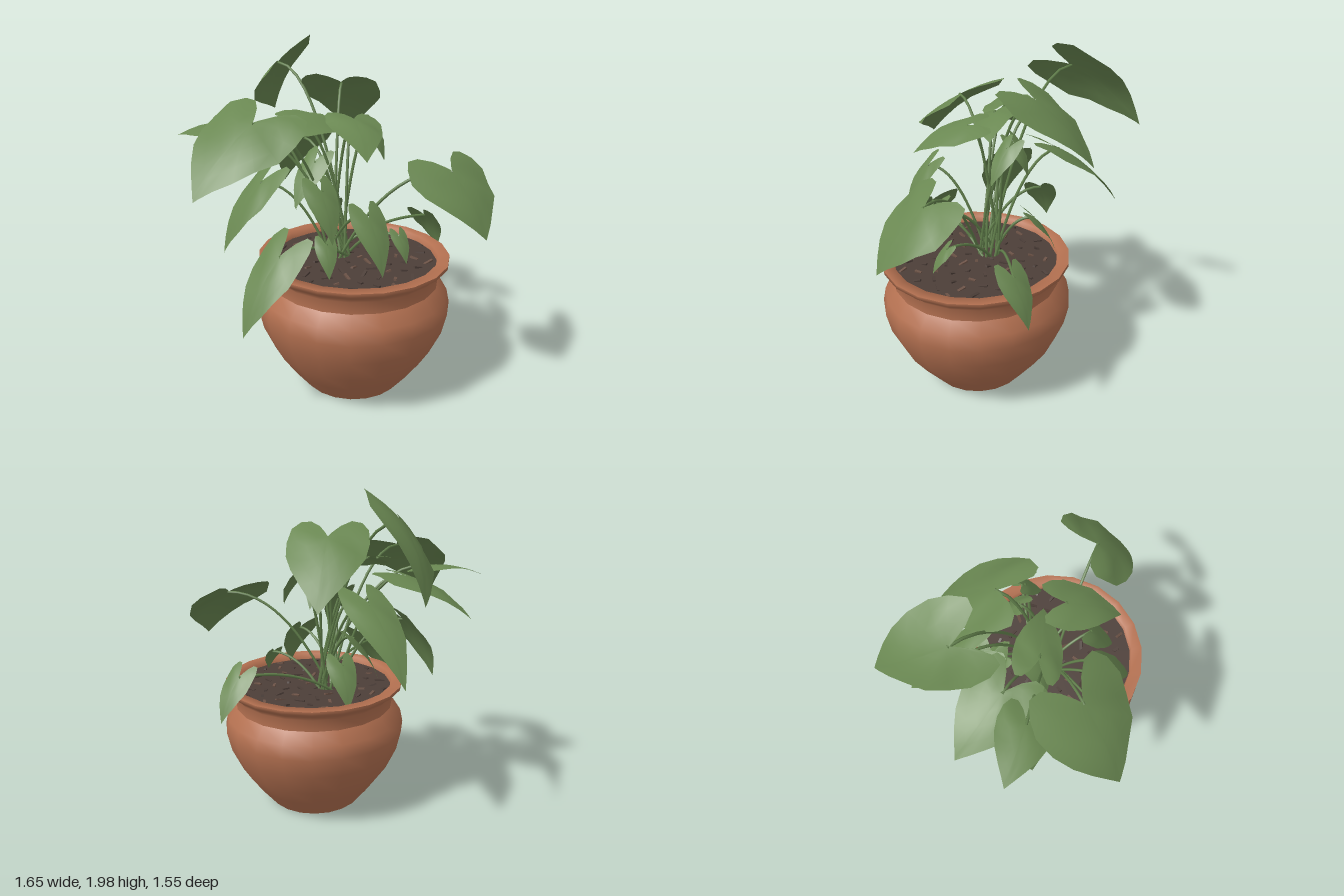
import * as THREE from 'three';

const DS = THREE.DoubleSide;
const mat = (name, color, side = THREE.FrontSide) => {
  const m = new THREE.MeshStandardMaterial({ color, side });
  m.name = name;
  return m;
};
const rad = THREE.MathUtils.degToRad;
const UP = new THREE.Vector3(0, 1, 0);
const STEPS = 24, RINGS = 4;

// Heart outline running from the notch round the tip and back: [along, across]
const heart = (angle) => {
  const c = (k) => Math.cos(k * angle), s = Math.sin(angle);
  return [(0.28 - (13 * c(1) - 5 * c(2) - 2 * c(3) - c(4)) / 16) / 1.34, s * Math.abs(s)];
};

// Blade from stalk joint to tip, rolled about its length, arched along and cupped across
function leafGeometry(joint, tip, width, roll) {
  const axis = tip.clone().sub(joint), len = axis.length();
  const flat = axis.clone().cross(UP).normalize();
  const top = flat.clone().cross(axis).normalize();
  const side = flat.clone().multiplyScalar(Math.cos(rad(roll))).addScaledVector(top, Math.sin(rad(roll)));
  const normal = side.clone().cross(axis).normalize();
  const pos = joint.toArray(), index = [];
  for (let r = 1; r <= RINGS; r++) {
    for (let i = 0; i <= STEPS; i++) {
      const [u, v] = heart(i / STEPS * Math.PI * 2).map((c) => c * r / RINGS);
      const lift = 0.27 * len * (u - u * u) - 0.16 * width * v * v
        + 0.05 * width * Math.abs(v) * Math.sin(u * 9 + v * 4);
      const p = joint.clone().addScaledVector(axis, u).addScaledVector(side, v * width).addScaledVector(normal, lift);
      pos.push(...p.toArray());
    }
  }
  for (let i = 1; i <= STEPS; i++) {
    index.push(0, i, i + 1);
    for (let r = 0; r < RINGS - 1; r++) {
      const p = r * (STEPS + 1) + i, q = p + STEPS + 1;
      index.push(p, q, p + 1, p + 1, q, q + 1);
    }
  }
  const g = new THREE.BufferGeometry();
  g.setAttribute('position', new THREE.Float32BufferAttribute(pos, 3));
  g.setIndex(index);
  g.computeVertexNormals();
  return g;
}

// Large leaves: joint xyz, tip xyz, half width, roll in degrees
const LARGE = [
  [-0.21, 1.82, -0.36, -0.16, 1.47, -0.77, 0.235, 45],
  [0.12, 1.72, -0.12, 0.27, 1.38, -0.42, 0.23, 0],
  [-0.47, 1.59, 0.28, -0.80, 1.25, 0.46, 0.29, 14],
  [-0.53, 1.51, -0.01, -0.83, 1.46, -0.14, 0.15, 8],
  [-0.35, 1.48, -0.12, -0.63, 1.27, -0.39, 0.2, 8],
  [-0.07, 1.37, -0.28, -0.125, 1.00, -0.65, 0.15, 3],
  [0.57, 1.32, 0.49, 0.67, 1.01, 0.73, 0.27, 2],
  [0.09, 1.58, 0.25, 0.07, 1.42, 0.55, 0.155, 8],
  [-0.20, 1.56, 0.08, 0.11, 1.48, 0.13, 0.14, -20],
];

// Small leaves, all drooping alike: joint xyz, heading in degrees from +x to +z, length
const SMALL = [
  [-0.15, 1.26, 0.48, 80, 0.28],
  [0.25, 1.5, 0.04, 60, 0.22],
  [0.14, 1.49, 0, -45, 0.2],
  [0.13, 1.07, 0.43, 80, 0.32],
  [0.32, 0.94, 0.39, 79, 0.16],
  [-0.13, 0.97, 0.5, 94, 0.18],
  [0.61, 0.92, 0.04, -28, 0.28],
  [-0.38, 0.92, 0.48, 158, 0.46],
  [-0.39, 1.19, 0, 174, 0.46],
  [-0.09, 1.31, 0.07, 153, 0.29],
  [-0.02, 1.15, -0.17, 205, 0.27],
  [0.04, 0.98, -0.13, -87, 0.26],
];

export function createModel() {
  const terracotta = mat('terracotta', 0xb37050, DS);
  const soilMat = mat('soil', 0x4c3e38);
  const chipMat = mat('bark chips', 0x6b5246);
  const leafMat = mat('leaf green', 0x6a8852, DS);
  const stemMat = mat('stem green', 0x617f4b);

  const model = new THREE.Group();
  model.name = 'pottedPlant';
  const add = (name, geo, m, parent) => {
    const mesh = new THREE.Mesh(geo, m);
    mesh.name = name;
    parent.add(mesh);
    return mesh;
  };

  // Pot, turned in sections so the seams between them stay sharp
  const pot = new THREE.Group();
  pot.name = 'pot';
  pot.position.set(0.105, 0, 0.22);
  model.add(pot);
  const turn = (name, pts) => add(name,
    new THREE.LatheGeometry(pts.map((p) => new THREE.Vector2(...p)), 20), terracotta, pot);
  turn('potBase', [[0, 0.003], [0.29, 0.003]]);
  turn('potBody', [[0.29, 0], [0.39, 0.125], [0.47, 0.24], [0.535, 0.38], [0.562, 0.5], [0.545, 0.58], [0.49, 0.65]]);
  turn('potNeck', [[0.49, 0.65], [0.49, 0.72], [0.515, 0.75], [0.55, 0.775], [0.55, 0.795]]);
  turn('potRim', [[0.55, 0.795], [0.485, 0.795], [0.475, 0.74]]);

  const soil = add('soil', new THREE.CircleGeometry(0.48, 28), soilMat, pot);
  soil.rotation.x = -Math.PI / 2;
  soil.position.y = 0.76;

  // Chips scattered over the soil in a sunflower spiral, every third one paler bark
  for (let i = 0; i < 70; i++) {
    const r = 0.45 * Math.sqrt((i + 0.5) / 70), a = i * 2.4;
    const size = 0.03 + 0.01 * (i % 4);
    const chip = add('chip', new THREE.BoxGeometry(size, 0.01, 0.016), i % 3 ? soilMat : chipMat, pot);
    chip.position.set(r * Math.cos(a), 0.763, r * Math.sin(a));
    chip.rotation.set(0.25 * Math.sin(i), i * 1.7, 0.3 * Math.cos(i * 3));
  }

  // Each leaf sits on a stalk arching up from the crown
  const plant = new THREE.Group();
  plant.name = 'plant';
  model.add(plant);
  const addLeaf = (joint, tip, width, roll, i) => {
    add('leaf', leafGeometry(joint, tip, width, roll), leafMat, plant);
    const root = new THREE.Vector3(0.04 + 0.06 * Math.cos(i * 2.4), 0.755, 0.14 + 0.06 * Math.sin(i * 2.4));
    const bend = root.clone().lerp(joint, 0.45).setY(joint.y + 0.02);
    const path = new THREE.QuadraticBezierCurve3(root, bend, joint);
    add('stalk', new THREE.TubeGeometry(path, 14, 0.0085, 6), stemMat, plant);
  };
  LARGE.forEach(([x, y, z, tx, ty, tz, width, roll], i) => {
    addLeaf(new THREE.Vector3(x, y, z), new THREE.Vector3(tx, ty, tz), width, roll, i);
  });
  SMALL.forEach(([x, y, z, heading, length], i) => {
    const joint = new THREE.Vector3(x, y, z), a = rad(heading);
    const droop = new THREE.Vector3(0.5 * Math.cos(a), -0.866, 0.5 * Math.sin(a));
    addLeaf(joint, joint.clone().addScaledVector(droop, length), 0.34 * length, 8, i + LARGE.length);
  });
  return model;
}
